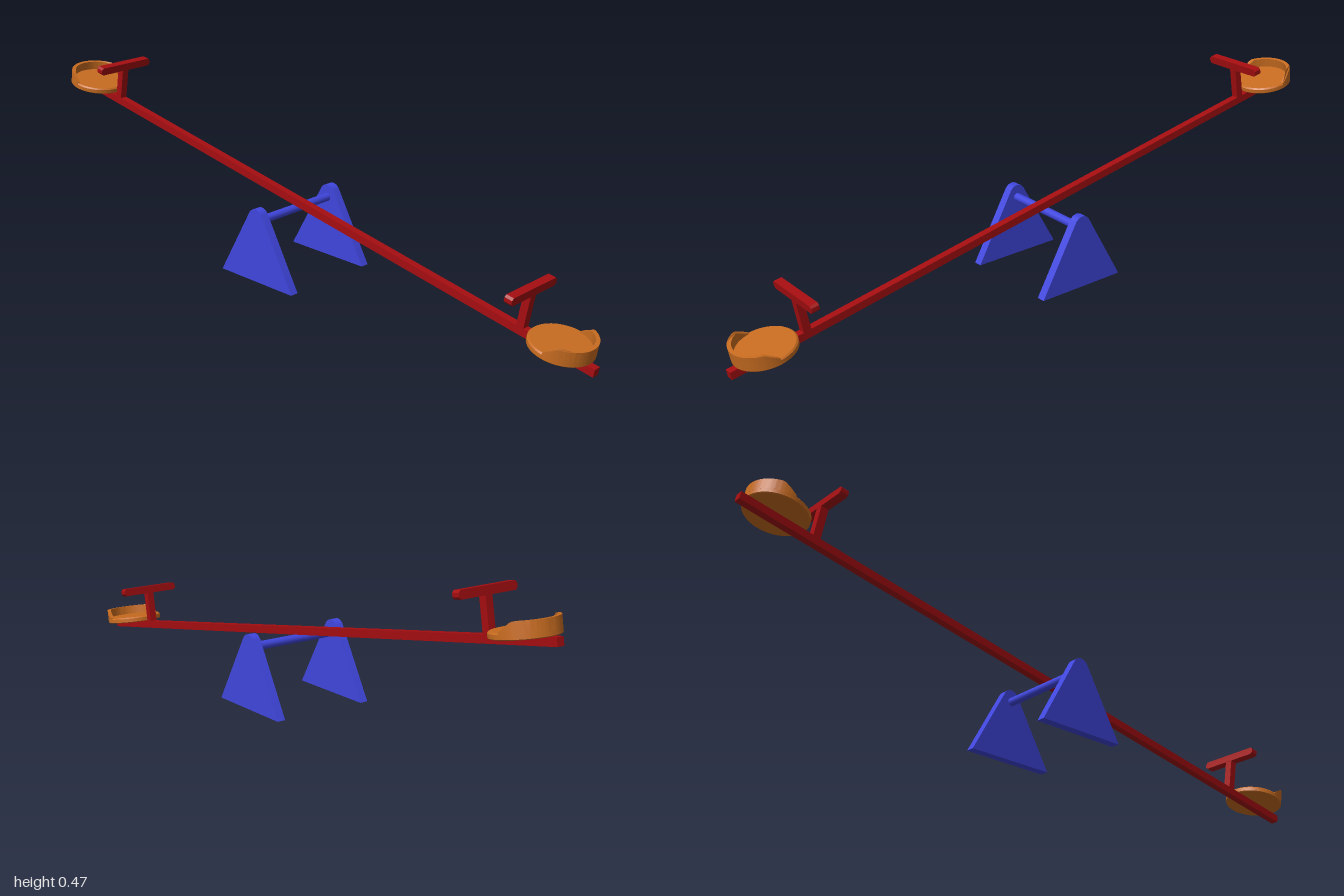
import * as THREE from 'three';
import { toCreasedNormals } from 'three/addons/utils/BufferGeometryUtils.js';

export function createModel() {
  const red = new THREE.MeshStandardMaterial({ name: 'red paint', color: 0xa50d10 });
  const blue = new THREE.MeshStandardMaterial({ name: 'blue paint', color: 0x4046de });
  const orange = new THREE.MeshStandardMaterial({ name: 'orange seat', color: 0xc86c20 });

  const model = new THREE.Group();
  model.name = 'seesaw';

  function add(parent, name, geometry, material, x = 0, y = 0, z = 0) {
    const mesh = new THREE.Mesh(geometry, material);
    mesh.name = name;
    mesh.position.set(x, y, z);
    parent.add(mesh);
    return mesh;
  }
  const smooth = (geometry) => toCreasedNormals(geometry, 0.6);

  // Triangular side supports with a rounded top
  const stand = new THREE.Group();
  stand.name = 'stand';
  stand.position.z = -0.006;
  model.add(stand);
  const base = 0.138, topRadius = 0.027, topCentre = 0.188;
  const tangent = Math.atan2(-topCentre, base) + Math.acos(topRadius / Math.hypot(base, topCentre));
  const triangle = new THREE.Shape();
  triangle.moveTo(-base, 0);
  triangle.lineTo(base, 0);
  triangle.absarc(0, topCentre, topRadius, tangent, Math.PI - tangent, false);
  triangle.closePath();
  const supportGeometry = smooth(new THREE.ExtrudeGeometry(triangle,
    { depth: 0.025, bevelEnabled: false, curveSegments: 14 })
    .translate(0, 0, -0.0125).rotateY(Math.PI / 2));
  add(stand, 'leftSupport', supportGeometry, blue, 0.144);
  add(stand, 'rightSupport', supportGeometry, blue, -0.144);

  // Round axle under the beam
  add(stand, 'axle', new THREE.CylinderGeometry(0.012, 0.012, 0.27, 20).rotateZ(Math.PI / 2), blue, 0, 0.178, 0);

  // Tilted beam assembly, low end at the front
  const rocker = new THREE.Group();
  rocker.name = 'rocker';
  rocker.position.y = 0.203;
  rocker.rotation.x = 0.179;
  model.add(rocker);
  add(rocker, 'beam', new THREE.BoxGeometry(0.022, 0.022, 2.028), red);

  // Handle bar with chamfered ends
  const hw = 0.094, hh = 0.0115, c = 0.006;
  const bar = new THREE.Shape([
    [-hw + c, -hh], [hw - c, -hh], [hw, -hh + c], [hw, hh - c],
    [hw - c, hh], [-hw + c, hh], [-hw, hh - c], [-hw, -hh + c],
  ].map(([x, y]) => new THREE.Vector2(x, y)));
  const barGeometry = new THREE.ExtrudeGeometry(bar, { depth: 0.023, bevelEnabled: false })
    .translate(0, 0, -0.0115);

  // Round seat with a slightly bevelled edge
  const seatProfile = [[0, 0], [0.084, 0], [0.086, 0.002], [0.086, 0.013], [0.082, 0.017], [0, 0.017]];
  const seatGeometry = smooth(new THREE.LatheGeometry(
    seatProfile.map(([r, y]) => new THREE.Vector2(r, y)), 40));

  // Half-ring seat back whose ends slope down to the seat
  const backHeight = 0.03;
  const halfRing = new THREE.Shape();
  halfRing.absarc(0, 0, 0.086, Math.PI, Math.PI * 2, false);
  halfRing.absarc(0, 0, 0.075, Math.PI * 2, Math.PI, true);
  halfRing.closePath();
  const ring = new THREE.ExtrudeGeometry(halfRing, { depth: backHeight, bevelEnabled: false, curveSegments: 28 })
    .rotateX(-Math.PI / 2);
  const points = ring.attributes.position;
  for (let i = 0; i < points.count; i++) {
    if (points.getY(i) > 0.001) {
      const rise = Math.min(1, Math.max(0, points.getZ(i)) / 0.036);
      points.setY(i, 0.005 + (backHeight - 0.005) * rise);
    }
  }
  ring.computeVertexNormals();
  const backGeometry = smooth(ring);

  // The same fittings at both ends
  for (const [name, turn] of [['frontEnd', 0], ['rearEnd', Math.PI]]) {
    const end = new THREE.Group();
    end.name = name;
    end.rotation.y = turn;
    rocker.add(end);
    add(end, 'handlePost', new THREE.BoxGeometry(0.022, 0.1, 0.022), red, 0, 0.056, 0.791);
    add(end, 'handleBar', barGeometry, red, 0, 0.115, 0.791);
    add(end, 'seat', seatGeometry, orange, 0, 0.011, 0.908);
    add(end, 'seatBack', backGeometry, orange, 0, 0.024, 0.908);
  }
  return model;
}
